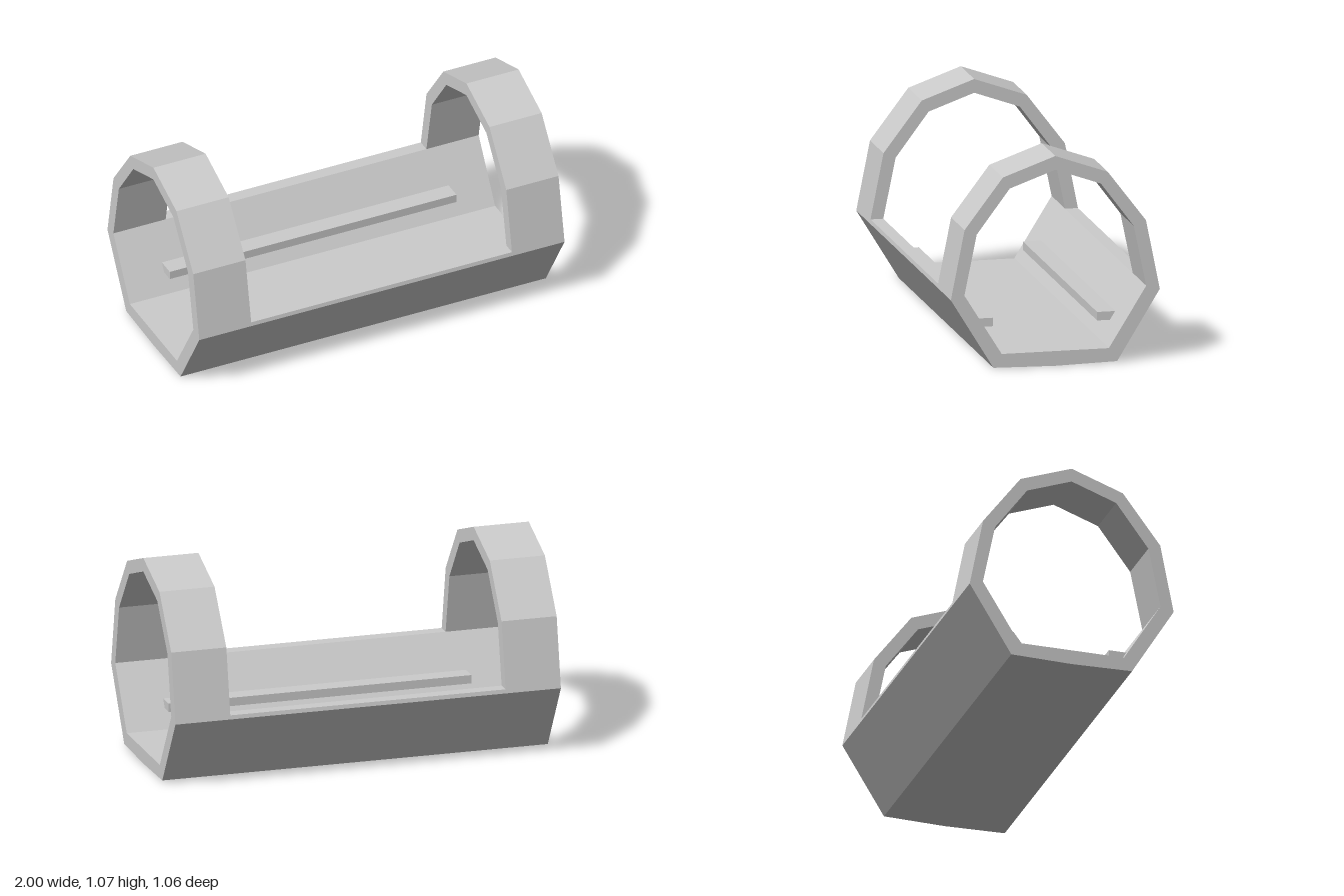
import * as THREE from 'three';

const material = new THREE.MeshStandardMaterial({ color: 0xcccccc, flatShading: true });

// Half cross-sections as [z, y]; each is mirrored across z = 0.
const hullOuter = [[0.315, 0.01], [0.532, 0.365], [0.528, 0.385]];
const hullInner = [[0.463, 0.385], [0.273, 0.078]];
const archOuter = [[0.528, 0.385], [0.462, 0.718], [0.267, 0.975]];
const archInner = [[0.232, 0.917], [0.4, 0.692], [0.463, 0.385]];

const mirror = (points) => points.map(([z, y]) => [-z, y]).reverse();

// Extrudes a [z, y] outline along x, centred on the given x position.
function extrudeAlongX(name, outline, length, x = 0) {
  const shape = new THREE.Shape(outline.map(([z, y]) => new THREE.Vector2(z, y)));
  const geometry = new THREE.ExtrudeGeometry(shape, { depth: length, bevelEnabled: false });
  geometry.translate(0, 0, -length / 2);
  geometry.rotateY(-Math.PI / 2);
  const mesh = new THREE.Mesh(geometry, material);
  mesh.name = name;
  mesh.position.x = x;
  return mesh;
}

export function createModel() {
  const model = new THREE.Group();
  model.name = 'openCradle';

  // Trough running the full length, with a barely bowed underside
  const hull = [[0, 0.003], ...hullOuter, ...hullInner, ...mirror(hullInner), ...mirror(hullOuter)];
  model.add(extrudeAlongX('trough', hull, 2));

  // Faceted hoop over each end
  const arch = [...archOuter, [0, 1.07], ...mirror(archOuter), ...mirror(archInner), [0, 1.0], ...archInner];
  model.add(extrudeAlongX('leftHoop', arch, 0.286, 0.857));
  model.add(extrudeAlongX('rightHoop', arch, 0.286, -0.857));

  // Narrow ledges along the inner walls
  const ledge = [[0.265, 0.17], [0.331, 0.17], [0.358, 0.213], [0.265, 0.213]];
  model.add(extrudeAlongX('frontLedge', ledge, 1.57));
  model.add(extrudeAlongX('backLedge', mirror(ledge), 1.57));

  return model;
}
